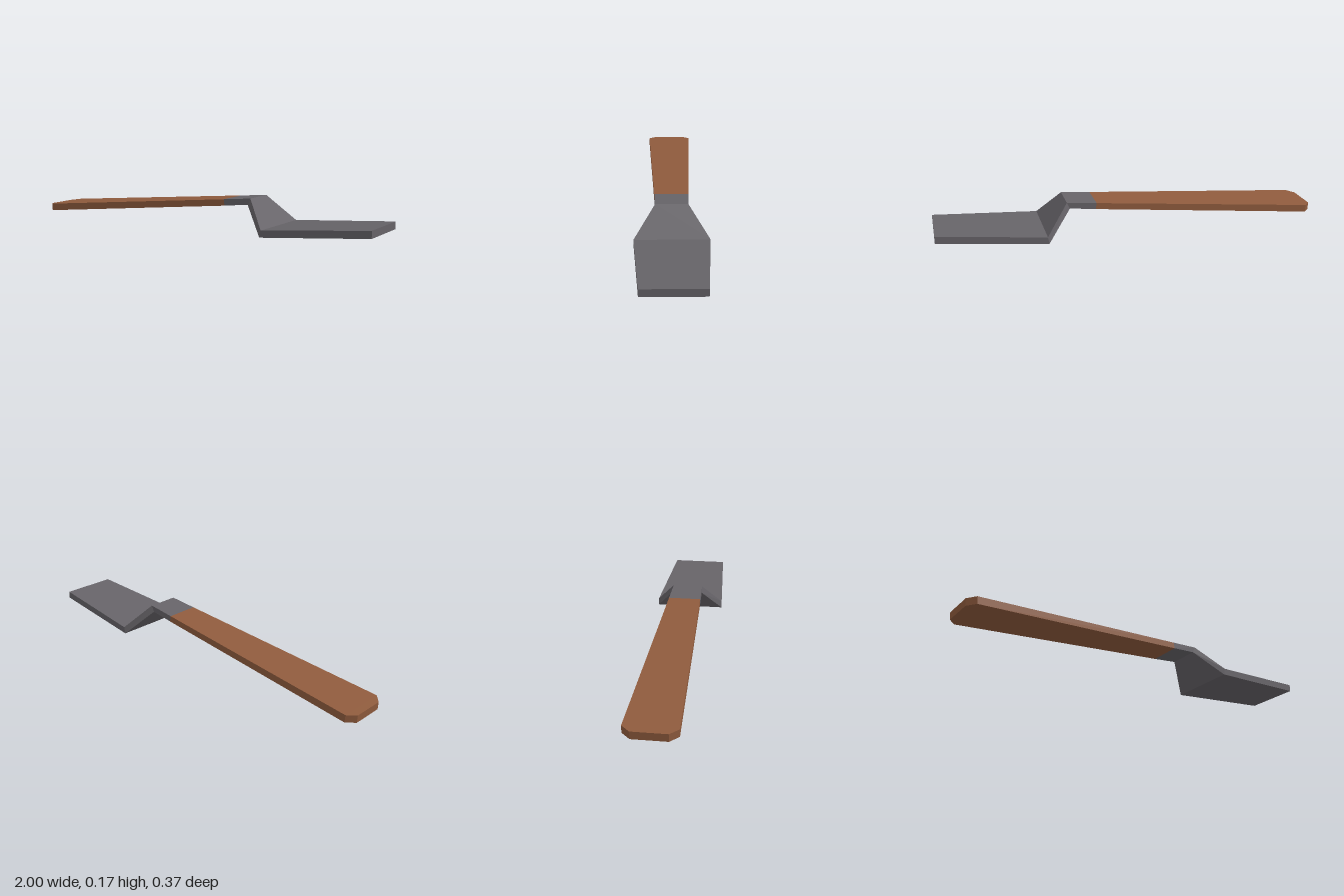
import * as THREE from 'three';

// Lofts rectangular sections [topX, topY, bottomX, bottomY, halfWidth] along x, with flat faces and end caps
function loft(sections) {
  const pos = [], index = [];
  for (const [tx, ty, bx, by, w] of sections) {
    pos.push(bx, by, -w, bx, by, w, tx, ty, w, tx, ty, -w);
  }
  const quad = (a, b, c, d) => index.push(a, b, c, a, c, d);
  const last = (sections.length - 1) * 4;
  for (let i = 0; i < last; i += 4) {
    for (let j = 0; j < 4; j++) {
      const k = (j + 1) % 4;
      quad(i + j, i + 4 + j, i + 4 + k, i + k);
    }
  }
  quad(0, 1, 2, 3);
  quad(last + 3, last + 2, last + 1, last);
  const indexed = new THREE.BufferGeometry();
  indexed.setAttribute('position', new THREE.Float32BufferAttribute(pos, 3));
  indexed.setIndex(index);
  const geometry = indexed.toNonIndexed();
  geometry.computeVertexNormals();
  return geometry;
}

export function createModel() {
  const wood = new THREE.MeshStandardMaterial({ color: 0x8f5b3d });
  wood.name = 'wood';
  const steel = new THREE.MeshStandardMaterial({ color: 0x666368 });
  steel.name = 'steel';

  const group = new THREE.Group();
  group.name = 'spatula';
  const add = (name, sections, material) => {
    const mesh = new THREE.Mesh(loft(sections), material);
    mesh.name = name;
    group.add(mesh);
  };

  const joint = [0.19, 0.155, 0.195, 0.123, 0.085];

  // Tapered handle with chamfered butt
  add('handle', [
    [-1, 0.038, -0.998, 0, 0.083],
    [-0.963, 0.042, -0.96, 0.004, 0.124],
    joint,
  ], wood);

  // Neck, downward crank and blade
  add('blade', [
    joint,
    [0.342, 0.17, 0.327, 0.138, 0.08],
    [0.46, 0.038, 0.453, 0.003, 0.183],
    [1, 0.087, 1, 0.05, 0.147],
  ], steel);

  return group;
}
